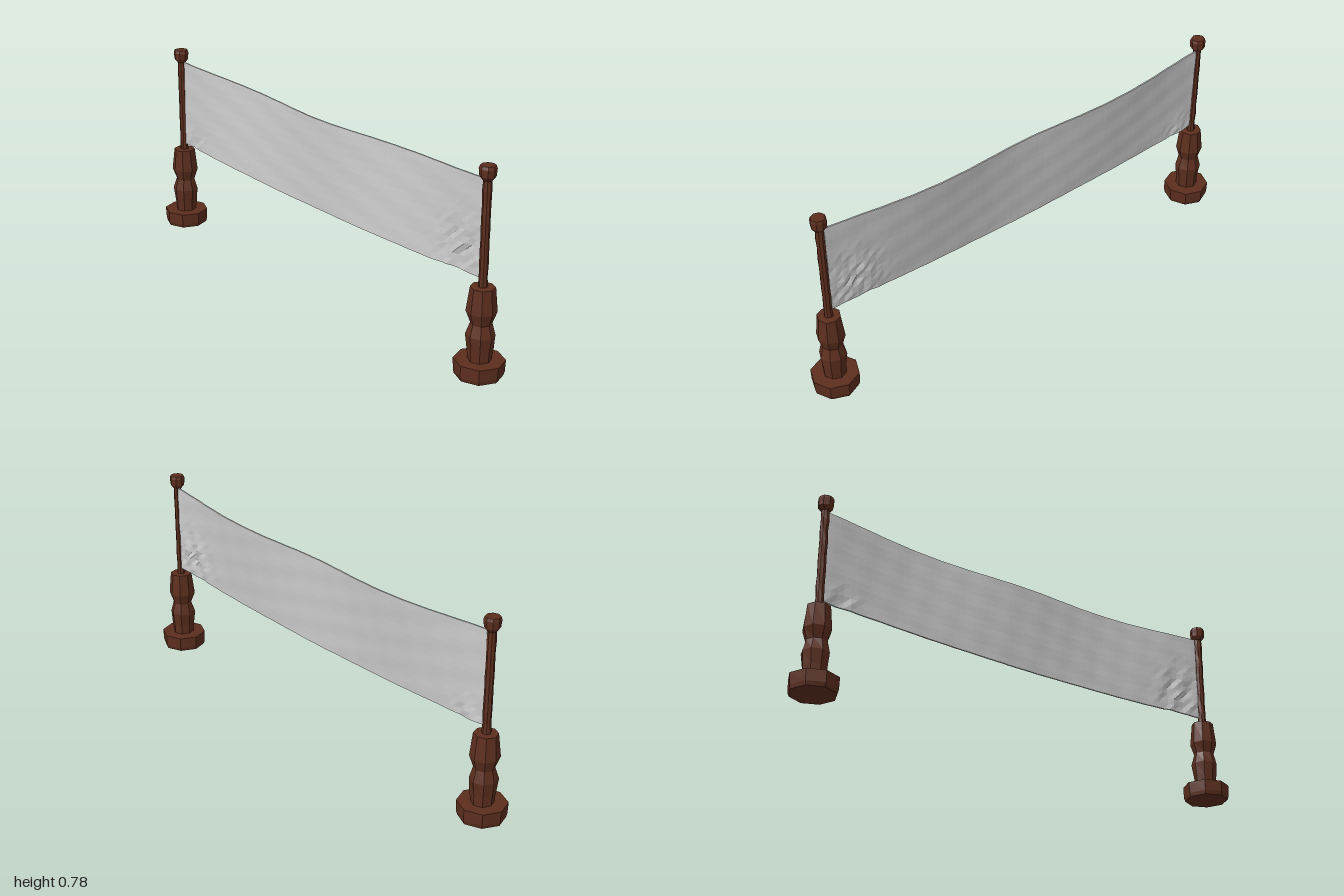
import * as THREE from 'three';

const wood = new THREE.MeshStandardMaterial({ color: 0x5c2e1e, flatShading: true });
const cloth = new THREE.MeshStandardMaterial({ color: 0xcccccc, flatShading: true, side: THREE.DoubleSide });

// Eight-sided turned part from [radius, height] points, roughened by a small wobble
function turned(name, profile, wobble) {
  const geo = new THREE.LatheGeometry(profile.map(([r, y]) => new THREE.Vector2(r, y)), 8);
  const p = geo.attributes.position;
  for (let i = 0; i < p.count; i++) {
    const x = p.getX(i), y = p.getY(i), z = p.getZ(i);
    const k = 1 + wobble * Math.sin(y * 83 + x * 45 + z * 71);
    p.setXYZ(i, x * k, y, z * k);
  }
  geo.computeVertexNormals();
  const mesh = new THREE.Mesh(geo, wood);
  mesh.name = name;
  return mesh;
}

function makePost(name, x) {
  const post = new THREE.Group();
  post.name = name;
  const pole = [];
  for (let i = 0; i <= 9; i++) pole.push([0.0165 - 0.001 * (i % 2), 0.33 + i * 0.0445]);
  post.add(
    turned('foot', [[0, 0], [0.086, 0], [0.09, 0.015], [0.092, 0.06], [0, 0.06]], 0.012),
    turned('baluster', [[0.042, 0.058], [0.046, 0.1], [0.052, 0.155], [0.039, 0.2],
      [0.054, 0.244], [0.044, 0.335], [0, 0.337]], 0.03),
    turned('pole', pole, 0.07),
    turned('cap', [[0, 0.72], [0.017, 0.722], [0.029, 0.737], [0.031, 0.765], [0.027, 0.776], [0, 0.776]], 0.02)
  );
  post.position.x = x;
  return post;
}

// Soft falloff around a point on the cloth
const bump = (x, y, cx, cy, rx, ry) => Math.exp(-(((x - cx) / rx) ** 2) - ((y - cy) / ry) ** 2);

// Sagging, billowing cloth: a thin slab bent by a rule
function makeBanner() {
  const geo = new THREE.BoxGeometry(2, 1, 0.006, 64, 14, 1);
  const p = geo.attributes.position;
  for (let i = 0; i < p.count; i++) {
    const u = p.getX(i), v = p.getY(i) + 0.5;
    const x = u * 0.893;
    let y = THREE.MathUtils.lerp(0.338 + 0.024 * u * u, 0.698 + 0.026 * u * u, v);
    // billow is strongest along the top edge
    const billow = Math.sin(Math.PI * Math.min(1, Math.abs(u))) ** 2;
    let z = -0.006 - v * (0.022 * billow + 0.007 * (1 - u * u)) + 0.004 * (1 - v) * Math.abs(u);
    // faint wrinkles, with crumpled lower corners
    z += 0.0012 * Math.sin(x * 31 + v * 9) * Math.sin(v * 13 - x * 17);
    const crumple = bump(x, v, 0.79, 0.22, 0.1, 0.3) + 0.8 * bump(x, v, -0.82, 0.05, 0.06, 0.13);
    z += crumple * (0.006 * Math.sin(x * 62 - v * 11) + 0.003 * Math.sin(x * 97 + v * 37) - 0.004);
    y += 0.005 * (1 - v) * bump(x, v, 0.76, 0, 0.07, 0.3);
    p.setXYZ(i, x, y, z + p.getZ(i));
  }
  geo.computeVertexNormals();
  const mesh = new THREE.Mesh(geo, cloth);
  mesh.name = 'banner';
  return mesh;
}

export function createModel() {
  const model = new THREE.Group();
  model.name = 'bannerBetweenPosts';
  model.add(makePost('leftPost', 0.907), makePost('rightPost', -0.907), makeBanner());
  return model;
}
